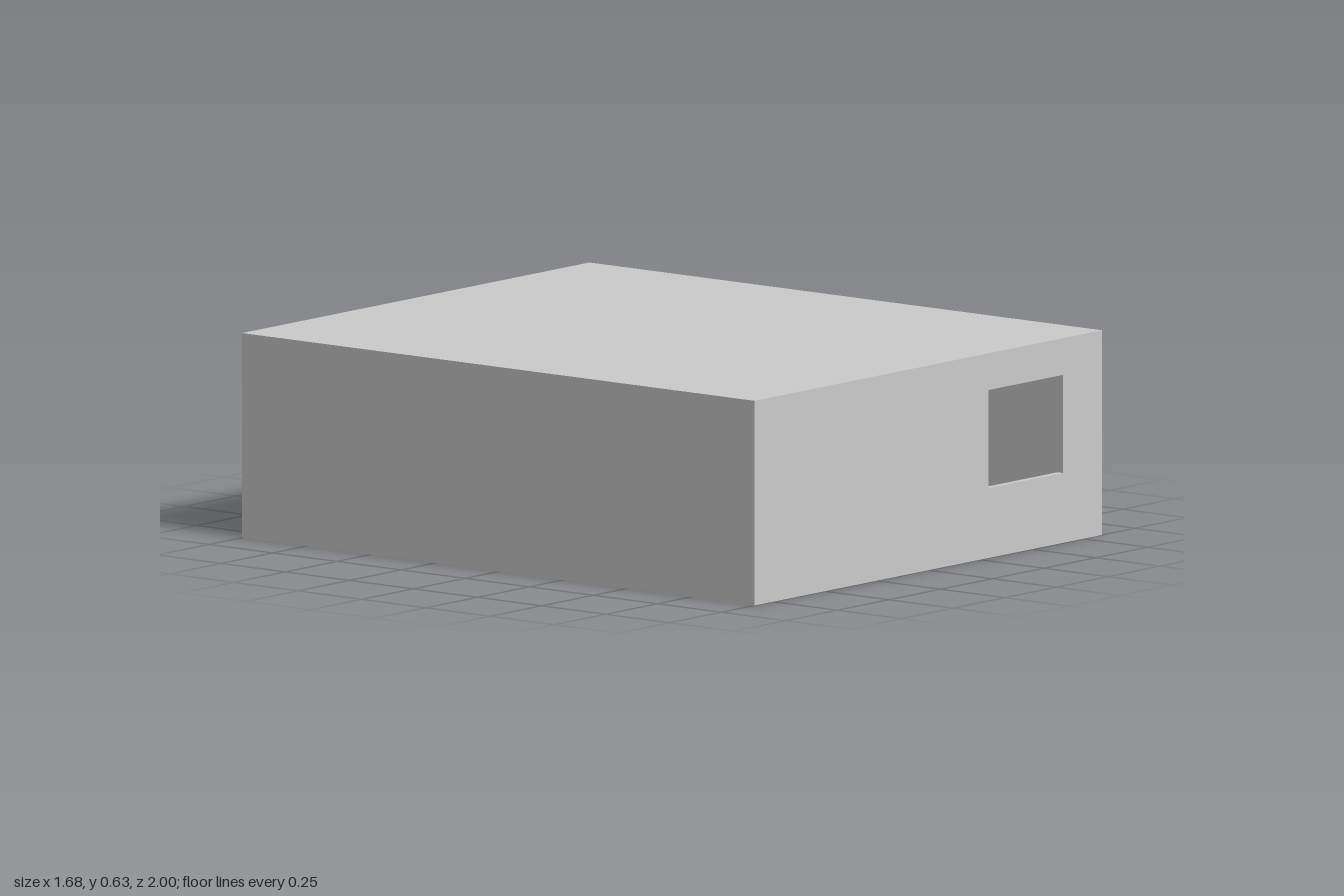
import * as THREE from 'three';

const W = 1.68, H = 0.63, D = 2, T = 0.022; // outer size and wall thickness
const grey = new THREE.MeshStandardMaterial({ color: 0xcccccc });

function add(parent, name, geometry, x, y, z) {
  const mesh = new THREE.Mesh(geometry, grey);
  mesh.name = name;
  mesh.position.set(x, y, z);
  parent.add(mesh);
  return mesh;
}

// Wall slab with mitred edges; outer face at local z = 0, hole = [x0, x1, y0, y1]
function panel(w, h, hole) {
  const rect = (P, x0, x1, y0, y1) => new P([[x0, y0], [x1, y0], [x1, y1], [x0, y1]].map(p => new THREE.Vector2(...p)));
  const shape = rect(THREE.Shape, -w / 2, w / 2, -h / 2, h / 2);
  if (hole) shape.holes.push(rect(THREE.Path, ...hole));
  const geo = new THREE.ExtrudeGeometry(shape, { depth: T, bevelEnabled: false });
  const p = geo.attributes.position;
  for (let i = 0; i < p.count; i++) {
    if (p.getZ(i) > T / 2) continue;
    // pull the rim of the inner face inwards
    const x = p.getX(i), y = p.getY(i);
    if (Math.abs(x) > w / 2 - 1e-4) p.setX(i, x - Math.sign(x) * T);
    if (Math.abs(y) > h / 2 - 1e-4) p.setY(i, y - Math.sign(y) * T);
  }
  geo.translate(0, 0, -T);
  geo.computeVertexNormals();
  return geo;
}

export function createModel() {
  const model = new THREE.Group();
  model.name = 'building';
  const mid = H / 2;

  // Outer shell, with a window in front and a low opening on the left side
  add(model, 'frontWall', panel(W, H, [0.29, 0.652, 0.215 - mid, 0.517 - mid]), 0, mid, D / 2);
  add(model, 'backWall', panel(W, H), 0, mid, -D / 2).rotation.y = Math.PI;
  add(model, 'leftWall', panel(D, H, [-0.096, 0.092, 0.022 - mid, 0.172 - mid]), W / 2, mid, 0).rotation.y = Math.PI / 2;
  add(model, 'rightWall', panel(D, H), -W / 2, mid, 0).rotation.y = -Math.PI / 2;
  add(model, 'roof', panel(W, D), 0, H, 0).rotation.x = -Math.PI / 2;
  add(model, 'floor', panel(W, D), 0, 0, 0).rotation.x = Math.PI / 2;

  // Inner partition between the front and rear rooms, and the rear room's ceiling
  const innerW = W - 2 * T;
  add(model, 'partition', new THREE.BoxGeometry(innerW, H - 2 * T, T), 0, mid, 0.28);
  add(model, 'rearCeiling', new THREE.BoxGeometry(innerW, T, 1.246), 0, 0.4, -0.354);

  // Small waisted stand just inside the side opening
  const profile = [[0, 0], [0.017, 0], [0.008, 0.036], [0.018, 0.054], [0.018, 0.063], [0, 0.063]];
  const stand = new THREE.LatheGeometry(profile.map(p => new THREE.Vector2(...p)), 16).toNonIndexed();
  stand.computeVertexNormals();
  add(model, 'stand', stand, 0.782, T, -0.055);

  return model;
}
